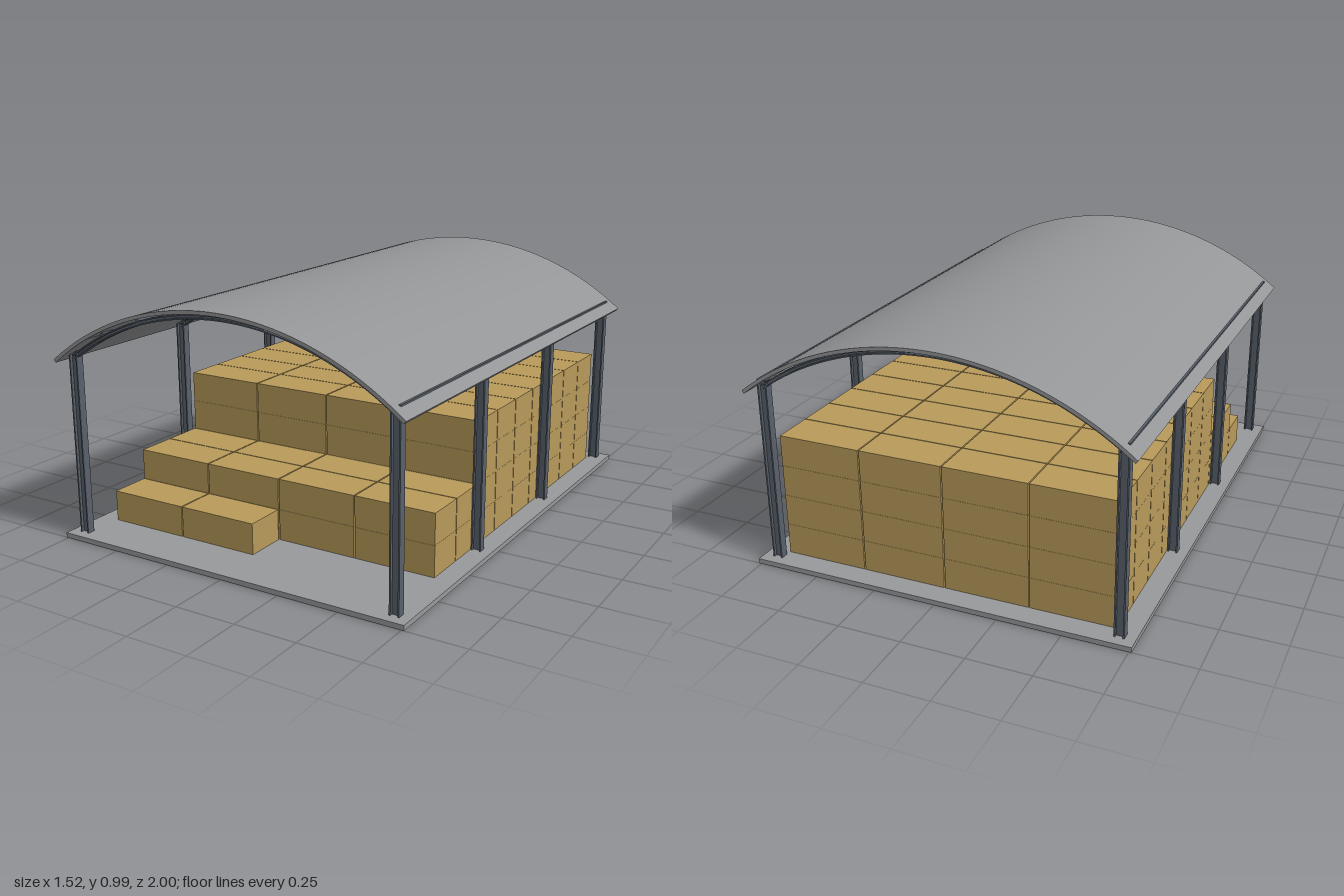
import * as THREE from 'three';
import { toCreasedNormals } from 'three/addons/utils/BufferGeometryUtils.js';

const mat = (name, color) => Object.assign(new THREE.MeshStandardMaterial({ color }), { name });
const ARC_Y = -0.232; // centre height of the roof arc

export function createModel() {
  const root = new THREE.Group();
  root.name = 'hayBarn';
  const concrete = mat('concrete grey', 0x98999b);
  const sheet = mat('roof grey', 0x949597);
  const steel = mat('slate steel', 0x59616b);
  const straw = mat('straw', 0xb89a5a);

  const box = (parent, name, material, size, pos) => {
    const m = new THREE.Mesh(new THREE.BoxGeometry(...size), material);
    m.name = name;
    m.position.set(...pos);
    parent.add(m);
    return m;
  };

  // Curved bar: a band between two radii, extruded along z
  const arch = (parent, name, material, r0, r1, half, depth, z) => {
    const s = new THREE.Shape();
    const up = Math.PI / 2;
    s.absarc(0, ARC_Y, r1, up - half, up + half, false);
    s.absarc(0, ARC_Y, r0, up + half, up - half, true);
    const g = new THREE.ExtrudeGeometry(s, { depth, bevelEnabled: false, curveSegments: 32 });
    g.translate(0, 0, z - depth / 2);
    const m = new THREE.Mesh(toCreasedNormals(g, 0.5), material);
    m.name = name;
    parent.add(m);
  };

  box(root, 'floorSlab', concrete, [1.52, 0.02, 2], [0, 0.01, 0]);
  arch(root, 'roofSheet', sheet, 1.208, 1.222, 0.6715, 2, 0);

  // Four portal frames of I-section posts and curved rafters
  for (const z of [-0.945, -0.315, 0.315, 0.945]) {
    const frame = new THREE.Group();
    frame.name = 'portalFrame';
    root.add(frame);
    for (const side of [-1, 1]) {
      const x = side * 0.7;
      for (const d of [-0.017, 0.017])
        box(frame, 'postFlange', steel, [0.006, 0.735, 0.032], [x + d, 0.3875, z]);
      box(frame, 'postWeb', steel, [0.03, 0.735, 0.008], [x, 0.3875, z]);
    }
    arch(frame, 'rafterLowerFlange', steel, 1.182, 1.187, 0.625, 0.03, z);
    arch(frame, 'rafterWeb', steel, 1.187, 1.195, 0.625, 0.008, z);
    arch(frame, 'rafterUpperFlange', steel, 1.195, 1.2, 0.625, 0.03, z);
  }

  // Purlins along the roof, the outermost just showing at the eaves
  for (let i = -4; i <= 4; i++) {
    const eave = Math.abs(i) === 4;
    const a = i * 0.1565;
    const r = eave ? 1.218 : 1.203;
    const p = box(root, eave ? 'eavePurlin' : 'purlin', steel, [0.012, 0.014, 1.92],
      [Math.sin(a) * r, ARC_Y + Math.cos(a) * r, 0]);
    p.rotation.z = eave ? 0 : -a;
  }

  // Stepped stack of bales: rows from the front to the back
  const bales = new THREE.Group();
  bales.name = 'baleStack';
  root.add(bales);
  for (let row = 0; row < 10; row++) {
    const layers = row === 0 ? 1 : row < 3 ? 2 : 4;
    const columns = row === 0 ? 2 : 4;
    for (let c = 0; c < columns; c++)
      for (let k = 0; k < layers; k++)
        box(bales, 'bale', straw, [0.335, 0.1245, 0.167],
          [-0.51 + c * 0.34, 0.0825 + k * 0.125, 0.712 - row * 0.1708]);
  }
  return root;
}
